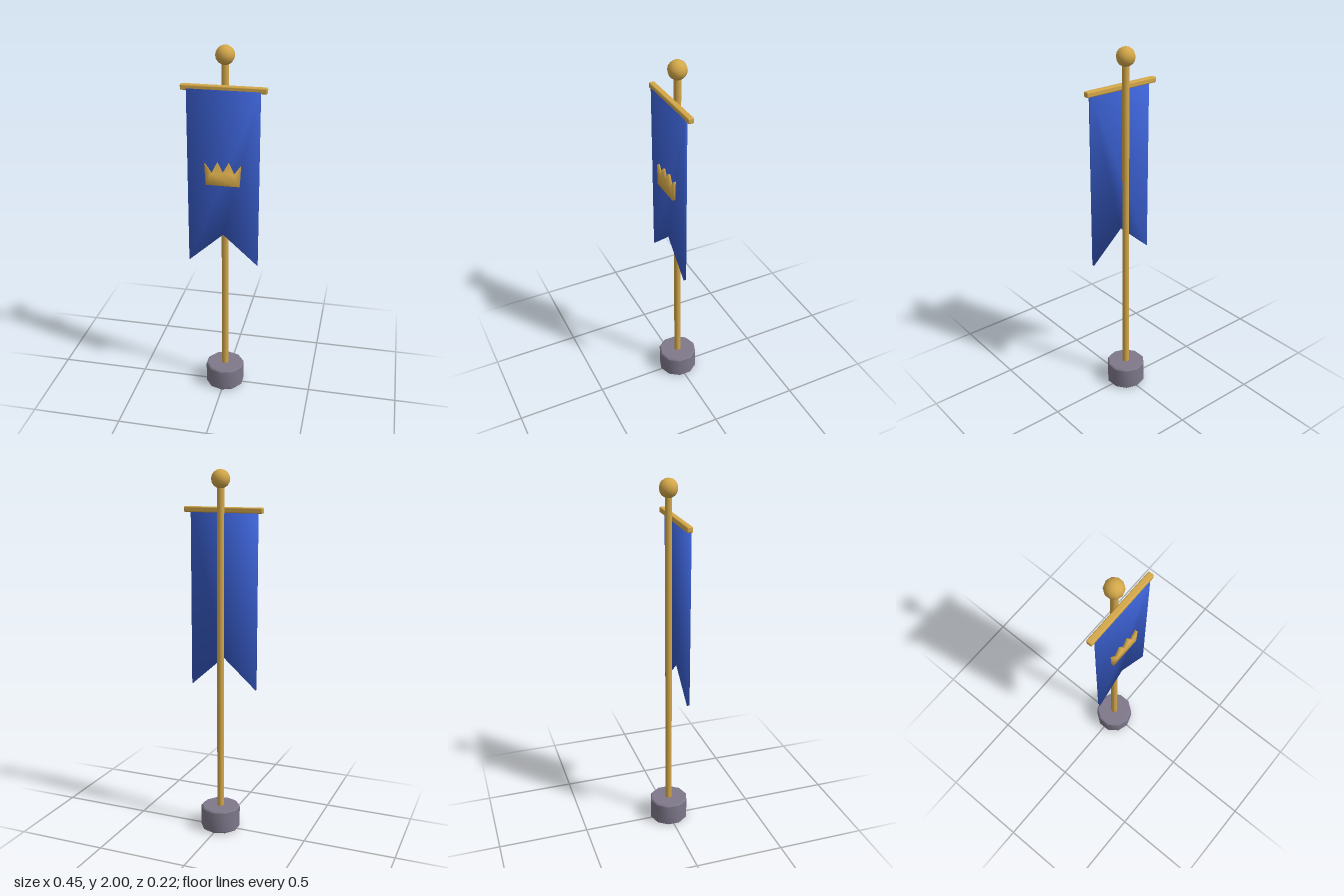
import * as THREE from 'three';
import { toCreasedNormals } from 'three/addons/utils/BufferGeometryUtils.js';
import { RoundedBoxGeometry } from 'three/addons/geometries/RoundedBoxGeometry.js';

const mat = (name, color) => {
  const m = new THREE.MeshStandardMaterial({ color });
  m.name = name;
  return m;
};

// Plate cut from an outline, with normals blended softly round its edges
function softPlate(points, depth) {
  const shape = new THREE.Shape(points.map(([x, y]) => new THREE.Vector2(x, y)));
  const geo = new THREE.ExtrudeGeometry(shape, { depth, bevelEnabled: false });
  const pos = geo.attributes.position, nor = geo.attributes.normal;
  const key = (i) => [pos.getX(i), pos.getY(i), pos.getZ(i)].map((v) => v.toFixed(4)).join();
  const sums = {};
  for (let i = 0; i < pos.count; i++) {
    const k = key(i);
    (sums[k] ??= new THREE.Vector3()).add(new THREE.Vector3().fromBufferAttribute(nor, i));
  }
  for (let i = 0; i < pos.count; i++) {
    const n = sums[key(i)].clone().normalize();
    nor.setXYZ(i, n.x, n.y, n.z);
  }
  return geo;
}

export function createModel() {
  const group = new THREE.Group();
  group.name = 'bannerStand';
  const gold = mat('gold', 0xd4a84a);
  const blue = mat('blueCloth', 0x3a5fcf);
  const stone = mat('greyStone', 0x7e788a);

  const add = (name, geo, material, x = 0, y = 0, z = 0) => {
    const mesh = new THREE.Mesh(geo, material);
    mesh.name = name;
    mesh.position.set(x, y, z);
    group.add(mesh);
    return mesh;
  };

  // Ten-sided foot with chamfered rims
  const profile = [[0, 0], [0.103, 0], [0.11, 0.007], [0.11, 0.123], [0.103, 0.13], [0, 0.13]]
    .map(([x, y]) => new THREE.Vector2(x, y));
  add('base', toCreasedNormals(new THREE.LatheGeometry(profile, 10), 0.7), stone);

  // Pole and ball finial
  add('pole', new THREE.CylinderGeometry(0.019, 0.019, 1.92, 10), gold, 0, 0.96, 0);
  add('finial', new THREE.SphereGeometry(0.05, 10, 8), gold, 0, 1.95, 0).rotation.y = Math.PI / 2;

  // Crossbar in front of the pole
  add('crossbar', new RoundedBoxGeometry(0.446, 0.03, 0.033, 2, 0.007), gold, 0, 1.79, 0.037);

  // Swallow-tailed cloth
  add('banner', softPlate([
    [-0.19, 0.82], [0, 0.99], [0.19, 0.82], [0.19, 1.785], [-0.19, 1.785],
  ], 0.015), blue, 0, 0, 0.041);

  // Crown emblem on the cloth
  add('crownEmblem', softPlate([
    [-0.09, 1.28], [0.09, 1.28], [0.096, 1.395], [0.06, 1.345], [0.03, 1.405],
    [0, 1.35], [-0.03, 1.405], [-0.06, 1.345], [-0.096, 1.395],
  ], 0.018), gold, 0, 0, 0.054);

  return group;
}
